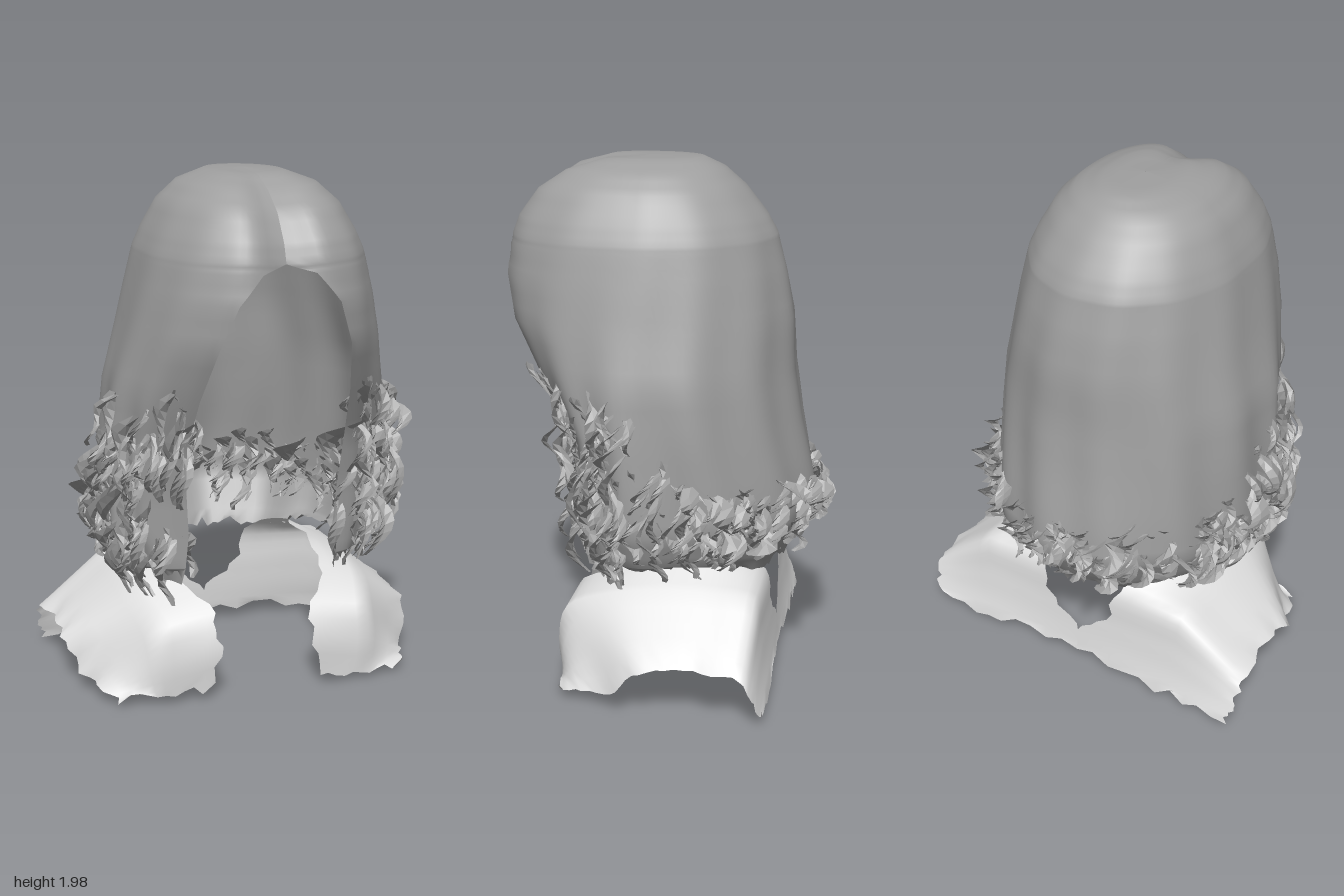
import * as THREE from 'three';
import { mergeGeometries } from 'three/addons/utils/BufferGeometryUtils.js';

const { lerp, clamp, smoothstep } = THREE.MathUtils;

// Seeded random numbers
let seed = 7;
const rand = (lo = 0, hi = 1) => {
  seed = (seed * 16807) % 2147483647;
  return lo + (hi - lo) * (seed / 2147483647);
};

// Surface from a rule point(u, v) -> [x, y, z]
function grid(rows, cols, point) {
  const pos = [], index = [];
  for (let i = 0; i <= rows; i++)
    for (let j = 0; j <= cols; j++) pos.push(...point(i / rows, j / cols));
  for (let i = 0; i < rows; i++)
    for (let j = 0; j < cols; j++) {
      const a = i * (cols + 1) + j, b = a + cols + 1;
      index.push(a, a + 1, b, a + 1, b + 1, b);
    }
  const g = new THREE.BufferGeometry();
  g.setAttribute('position', new THREE.Float32BufferAttribute(pos, 3));
  g.setIndex(index);
  g.computeVertexNormals();
  return g;
}

// Hair outline by height: y, half width, front z, back z, half width of face opening
const OUTLINE = [
  [1.995, 0.001, 0.101, 0.099, 0], [1.99, 0.14, 0.31, -0.1, 0], [1.95, 0.25, 0.44, -0.18, 0],
  [1.88, 0.325, 0.54, -0.26, 0], [1.78, 0.38, 0.61, -0.34, 0], [1.71, 0.41, 0.635, -0.38, 0],
  [1.67, 0.42, 0.635, -0.39, 0.1], [1.56, 0.445, 0.625, -0.42, 0.19], [1.4, 0.48, 0.585, -0.45, 0.25],
  [1.2, 0.53, 0.48, -0.46, 0.29], [1.0, 0.545, 0.38, -0.49, 0.31], [0.8, 0.55, 0.34, -0.53, 0.3],
  [0.65, 0.55, 0.33, -0.55, 0.29], [0.52, 0.5, 0.32, -0.47, 0.3], [0.45, 0.46, 0.3, -0.42, 0.31],
];
const ZC = 0.1, SQUARE = 0.82;

// Point on the hair: k runs down the outline, t = -1 right edge, 0 back, 1 left edge
function hairPoint(k, t, out = 0) {
  const i = Math.min(Math.floor(k), OUTLINE.length - 2);
  const [y, w, zf, zb, o] = OUTLINE[i].map((v, n) => lerp(v, OUTLINE[i + 1][n], k - i));
  const a0 = Math.asin((o / w) ** (1 / SQUARE));
  const phi = t * (Math.PI - a0);
  const s = Math.sin(phi), c = Math.cos(phi), power = c < 0 ? SQUARE : 1;
  // Strands show as grooves that deepen towards the hem
  const depth = 0.012 * clamp((2 - y) * 1.5, 0, 1) + 0.02 * smoothstep(1.3 - y, 0, 0.3) * Math.abs(t);
  const wave = 1 + depth * Math.sin(phi * 13 + Math.sin(y * 4)) * (1 - t ** 8);
  const x = (w * wave + out) * Math.sign(s) * Math.abs(s) ** power;
  const reach = c < 0 ? (zf - ZC) / Math.cos(a0) ** SQUARE : ZC - zb;
  let z = ZC - (reach * wave + out) * Math.sign(c) * Math.abs(c) ** power;
  // Dip along the centre parting
  const part = Math.exp(-((x / 0.09) ** 2)) * clamp((z - ZC) * 3, 0, 1);
  if (y > 1.6) z -= 0.06 * part;
  return [x, y - 0.015 * part, z];
}

// Row number in the outline for a height
function rowAt(y) {
  let i = 0;
  while (i < OUTLINE.length - 2 && OUTLINE[i + 1][0] > y) i++;
  return Math.min(OUTLINE.length - 1, i + (OUTLINE[i][0] - y) / (OUTLINE[i][0] - OUTLINE[i + 1][0]));
}

// Narrow twisted ribbon that hangs from the hair
function curl(y, t, drop, out, width) {
  const start = rand(0, 6.28), turn = rand(4, 8), radius = rand(0.012, 0.032), drift = rand(-0.06, 0.06);
  const g = grid(8, 2, (u, v) => {
    const p = hairPoint(rowAt(Math.max(0.46, y - drop * u)), clamp(t + drift * u, -1, 1), out * Math.sin(u * 2.4));
    const a = start + turn * u, twist = a * 0.7 + 1;
    const taper = width * Math.sin(0.5 + u * 2.4) * (v - 0.5) * 2;
    const ridge = v === 0.5 ? 0.014 : 0;
    return [
      p[0] + radius * Math.cos(a) + taper * Math.cos(twist) + ridge * Math.sin(twist),
      y - drop * u + taper * 0.5,
      p[2] + radius * Math.sin(a) + taper * Math.sin(twist) - ridge * Math.cos(twist),
    ];
  }).toNonIndexed();
  g.computeVertexNormals();
  return g;
}

// Shoulder cloth sections, front hem to back hem, on the left side
const CLOTH = [
  [[0.22, 0.06, 0.39], [0.19, 0.22, 0.4], [0.2, 0.34, 0.35], [0.3, 0.43, 0.2], [0.3, 0.5, 0],
    [0.28, 0.5, -0.22], [0.19, 0.42, -0.37], [0.13, 0.26, -0.39], [0, 0.15, -0.4], [0, 0.05, -0.41]],
  [[0.4, 0.03, 0.39], [0.42, 0.18, 0.4], [0.42, 0.31, 0.37], [0.45, 0.39, 0.2], [0.46, 0.42, 0],
    [0.46, 0.42, -0.2], [0.46, 0.4, -0.36], [0.44, 0.26, -0.385], [0.41, 0.14, -0.4], [0.38, 0.04, -0.42]],
  [[0.57, 0.04, 0.37], [0.62, 0.06, 0.27], [0.67, 0.08, 0.15], [0.72, 0.18, 0.06], [0.72, 0.21, -0.06],
    [0.72, 0.21, -0.2], [0.73, 0.19, -0.34], [0.73, 0.13, -0.38], [0.72, 0.08, -0.4], [0.7, 0.03, -0.42]],
].map((s) => new THREE.CatmullRomCurve3(s.map((p) => new THREE.Vector3(...p))));

function shoulder(side) {
  return grid(10, 36, (u, v) => {
    const r = side > 0 ? 1 - u : u;
    const [a, m, b] = CLOTH.map((c) => c.getPoint(v));
    const p = r < 0.5 ? a.lerp(m, r * 2) : m.lerp(b, r * 2 - 1);
    // Torn edges, closed where the two halves meet at the back
    const seam = r === 0 && v > 0.88;
    if ((v === 0 || v === 1) && !seam) p.y += rand(-0.03, 0.03);
    if ((r === 0 || r === 1) && !seam) p.x += rand(-0.02, 0.015);
    return [side * Math.max(0, p.x), Math.max(0, p.y), p.z];
  });
}

export function createModel() {
  seed = 7;
  const model = new THREE.Group();
  const hairGrey = new THREE.MeshStandardMaterial({ color: 0x9f9f9f, side: THREE.DoubleSide });
  hairGrey.name = 'hair grey';
  const clothGrey = new THREE.MeshStandardMaterial({ color: 0xe2e2e2, side: THREE.DoubleSide });
  clothGrey.name = 'cloth light grey';
  const add = (name, geometry, material) => {
    const mesh = new THREE.Mesh(geometry, material);
    mesh.name = name;
    model.add(mesh);
  };

  // Main hair with a ragged hem, higher at the sides
  const last = OUTLINE.length - 1;
  add('hairShell', grid(last * 3, 96, (u, v) => {
    const t = v * 2 - 1, p = hairPoint(u * last, t);
    p[1] += 0.05 * smoothstep(Math.abs(t), 0.2, 0.45) * clamp(u * last - last + 1, 0, 1);
    if (u === 1) p[1] += rand(-0.025, 0.025);
    return p;
  }), hairGrey);

  for (const side of [-1, 1]) {
    // Edge of the face opening, folded back under the hair
    add('hairFold', grid(27, 4, (u, v) => {
      const w = side > 0 ? v : 1 - v;
      return hairPoint(5 + u * (last - 5), side * (1 - 0.13 * w), -0.045 * Math.sin(w * 2.2));
    }), hairGrey);

    // Curls: long ones at the sides, reaching higher towards the face, short ones round the back hem
    const sideCurls = [], backCurls = [];
    for (let n = 0; n < 105; n++) {
      const t = rand(0.38, 1), y = lerp(0.64, lerp(0.85, 1.26, smoothstep(t, 0.38, 0.75)), rand() ** 1.2);
      const out = rand(t > 0.85 ? -0.09 : -0.02, 0.09);
      sideCurls.push(curl(y, side * t, rand(0.16, 0.28) * (t < 0.65 ? 0.7 : 1), out, rand(0.016, 0.036)));
    }
    for (let n = 0; n < 50; n++)
      backCurls.push(curl(rand(0.66, 0.84), side * rand(0, 0.45), rand(0.1, 0.2), rand(-0.04, 0.07), rand(0.025, 0.045)));
    add('sideCurls', mergeGeometries(sideCurls), hairGrey);
    add('backCurls', mergeGeometries(backCurls), hairGrey);
    add('shoulderCloth', shoulder(side), clothGrey);
  }
  return model;
}
